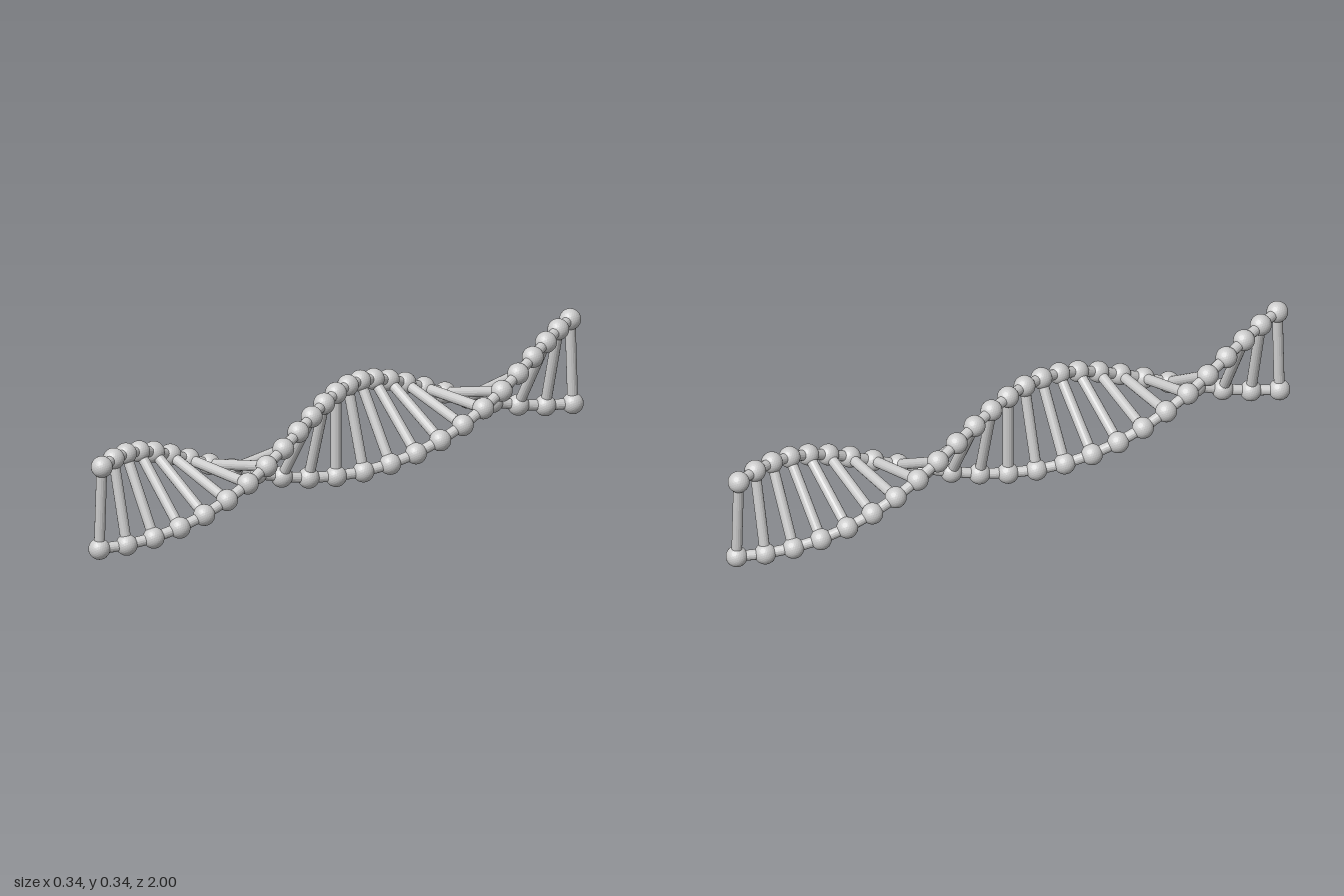
import * as THREE from 'three';

const STEPS = 24;             // 25 rungs
const RADIUS = 0.1355;        // helix radius
const BALL = 0.0335;
const ROD = 0.0165;
const TURN = THREE.MathUtils.degToRad(365);
const HALF = 1 - BALL;        // z of the end rungs
const CENTRE_Y = RADIUS + BALL;

const material = new THREE.MeshStandardMaterial({ color: 0xcccccc, flatShading: true });
const ballGeometry = new THREE.IcosahedronGeometry(BALL, 4);

// Centre of a ball on one of the two strands (side = 1 or -1)
function node(i, side) {
  const t = i / STEPS;
  const a = Math.PI / 2 + (t - 0.5) * TURN - Math.PI;
  return new THREE.Vector3(
    side * RADIUS * Math.cos(a),
    CENTRE_Y + side * RADIUS * Math.sin(a),
    HALF * (1 - 2 * t)
  );
}

// Round rod between two points
function rod(a, b, name) {
  const dir = b.clone().sub(a);
  const mesh = new THREE.Mesh(new THREE.CylinderGeometry(ROD, ROD, dir.length(), 16), material);
  mesh.position.copy(a).add(b).multiplyScalar(0.5);
  mesh.quaternion.setFromUnitVectors(new THREE.Vector3(0, 1, 0), dir.normalize());
  mesh.name = name;
  return mesh;
}

export function createModel() {
  const model = new THREE.Group();
  model.name = 'doubleHelix';

  // Two strands of balls joined by short rods
  for (const side of [1, -1]) {
    const strand = new THREE.Group();
    strand.name = side > 0 ? 'strandA' : 'strandB';
    for (let i = 0; i <= STEPS; i++) {
      const ball = new THREE.Mesh(ballGeometry, material);
      ball.position.copy(node(i, side));
      ball.name = 'ball';
      strand.add(ball);
      if (i < STEPS) strand.add(rod(node(i, side), node(i + 1, side), 'strandLink'));
    }
    model.add(strand);
  }

  // Rungs across the helix
  const rungs = new THREE.Group();
  rungs.name = 'rungs';
  for (let i = 0; i <= STEPS; i++) rungs.add(rod(node(i, 1), node(i, -1), 'rung'));
  model.add(rungs);

  return model;
}
